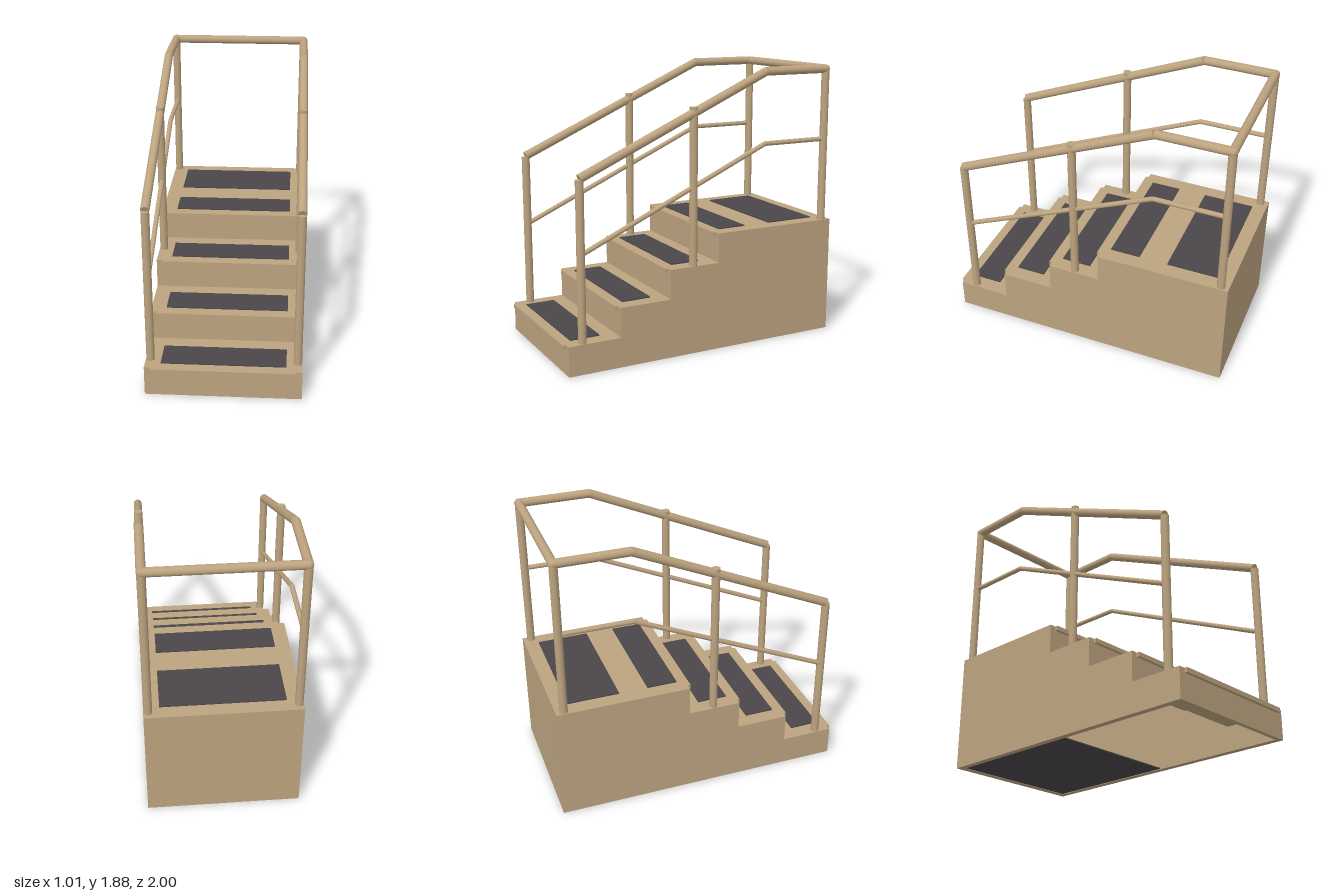
import * as THREE from 'three';

const HALF = 0.505, WALL = 0.042, INNER = HALF - WALL;
const BACK = -1, FRONT = 0.98, RISE = 0.2, RUN = 0.36, STEPS = 4, PLATE = 0.03;

export function createModel() {
  const model = new THREE.Group();
  model.name = 'steppedPlatform';
  const tan = new THREE.MeshStandardMaterial({ color: 0xbca37f });
  tan.name = 'tan paint';
  const grip = new THREE.MeshStandardMaterial({ color: 0x4b464a });
  grip.name = 'dark grip';

  const add = (name, geometry, material = tan) => {
    const mesh = new THREE.Mesh(geometry, material);
    mesh.name = name;
    model.add(mesh);
    return mesh;
  };
  // Box given by its extents, always centred across the width
  const slab = (name, width, y0, y1, z0, z1, material) =>
    add(name, new THREE.BoxGeometry(width, y1 - y0, z1 - z0), material)
      .position.set(0, (y0 + y1) / 2, (z0 + z1) / 2);
  // Round bar between two points
  const bar = (name, a, b, radius) => {
    const from = new THREE.Vector3(...a), to = new THREE.Vector3(...b);
    const dir = to.clone().sub(from);
    const mesh = add(name, new THREE.CylinderGeometry(radius, radius, dir.length(), 24));
    mesh.position.copy(from).add(to).multiplyScalar(0.5);
    mesh.quaternion.setFromUnitVectors(new THREE.Vector3(0, 1, 0), dir.normalize());
  };

  // Stepped side walls
  const profile = new THREE.Shape();
  profile.moveTo(BACK, 0);
  profile.lineTo(FRONT, 0);
  for (let i = 0; i < STEPS; i++) {
    const z = FRONT - i * RUN, y = (i + 1) * RISE;
    profile.lineTo(z, y);
    profile.lineTo(i < STEPS - 1 ? z - RUN : BACK, y);
  }
  profile.closePath();
  const wall = new THREE.ExtrudeGeometry(profile, { depth: WALL, bevelEnabled: false });
  wall.rotateY(-Math.PI / 2);
  add('rightSideWall', wall).position.x = -INNER;
  add('leftSideWall', wall).position.x = HALF;

  // Risers and treads with a small overhanging nosing
  for (let i = 0; i < STEPS; i++) {
    const z = FRONT - i * RUN, y = (i + 1) * RISE;
    const end = i < STEPS - 1 ? z - RUN : BACK;
    slab('riser', INNER * 2, i ? y - RISE - PLATE : 0, y - PLATE, z - PLATE, z);
    slab('tread', INNER * 2, y - PLATE, y, end, z + 0.02);
  }
  slab('backWall', INNER * 2, 0, STEPS * RISE - PLATE, BACK, BACK + WALL);

  // Dark base panel under the rear half
  slab('basePanel', INNER * 2, 0.004, 0.012, BACK + WALL, 0, grip);

  // Grip mats: height, back and front
  const mats = [[0.2, 0.725, 0.928], [0.4, 0.36, 0.562], [0.6, 0, 0.203],
    [0.8, -0.36, -0.157], [0.8, -0.905, -0.555]];
  for (const [y, z0, z1] of mats) slab('gripMat', 0.806, y, y + 0.007, z0, z1, grip);

  // Handrails on both sides
  const topY = 1.847, midY = 1.368, rearZ = -0.945, bendZ = -0.465, frontZ = 0.875;
  const railR = 0.029, postR = 0.027, midR = 0.016;
  for (const [side, x] of [['left', 0.475], ['right', -0.475]]) {
    bar(side + 'FrontPost', [x, 0.2, frontZ], [x, 1.243, frontZ], postR);
    bar(side + 'MiddlePost', [x, 0.6, 0.08], [x, 1.643, 0.08], postR);
    bar(side + 'RearPost', [x, 0.8, rearZ], [x, topY, rearZ], postR);
    bar(side + 'SlopedHandrail', [x, 1.25, frontZ], [x, topY, bendZ], railR);
    bar(side + 'LevelHandrail', [x, topY, bendZ], [x, topY, rearZ], railR);
    bar(side + 'SlopedMidRail', [x, 0.77, frontZ], [x, midY, bendZ], midR);
    bar(side + 'LevelMidRail', [x, midY, bendZ], [x, midY, rearZ], midR);
    add(side + 'RailCorner', new THREE.SphereGeometry(railR, 24, 16)).position.set(x, topY, rearZ);
    add(side + 'MidRailJoint', new THREE.SphereGeometry(midR, 16, 12)).position.set(x, midY, bendZ);
  }
  bar('rearCrossRail', [-0.475, topY, rearZ], [0.475, topY, rearZ], railR);

  return model;
}
